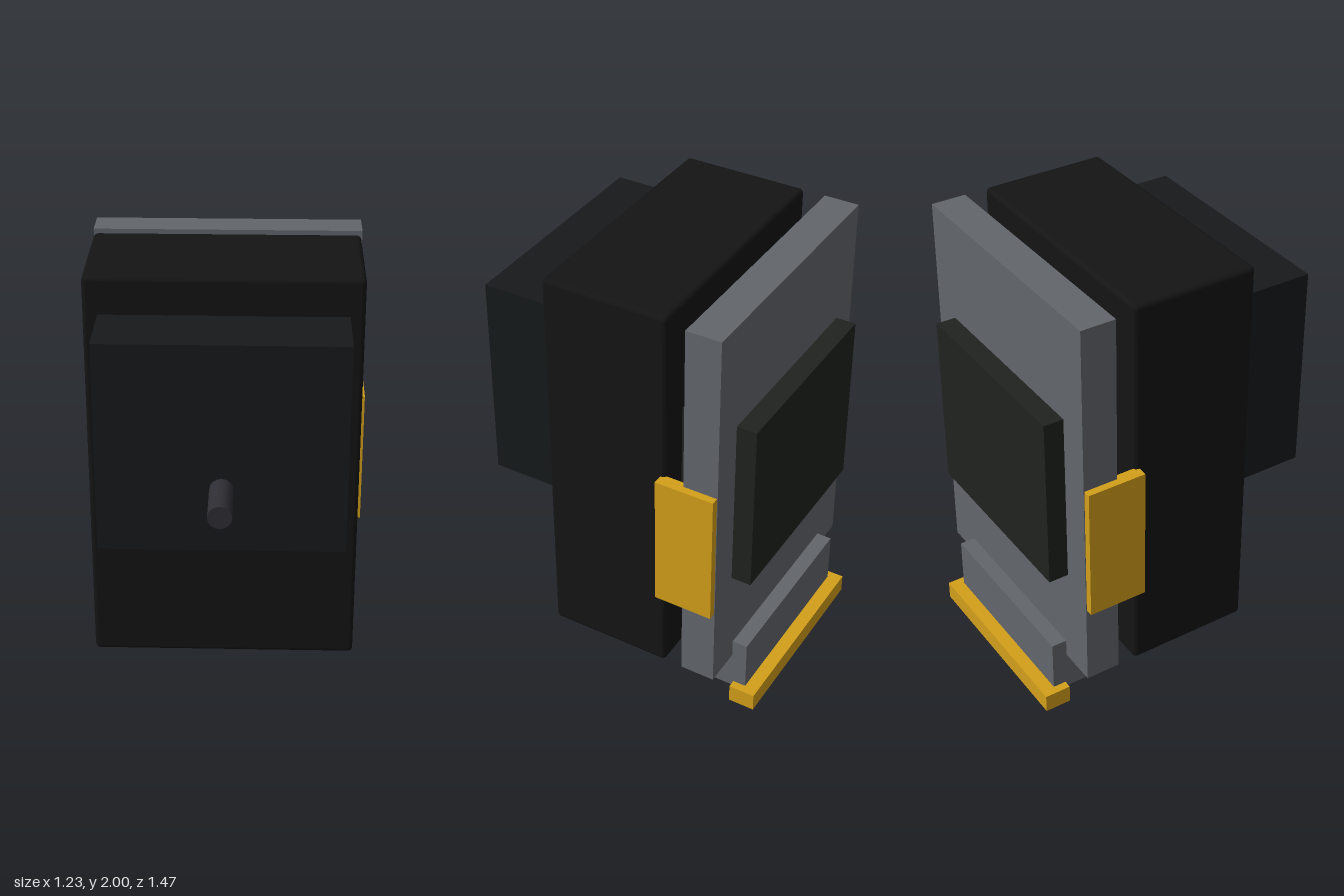
import * as THREE from 'three';
import { RoundedBoxGeometry } from 'three/addons/geometries/RoundedBoxGeometry.js';

const material = (color) => new THREE.MeshStandardMaterial({ color });

export function createModel() {
  const group = new THREE.Group();
  const black = material(0x141414);
  const charcoal = material(0x16191b);
  const panelDark = material(0x1f221e);
  const steel = material(0x62666b);
  const amber = material(0xd39f1b);
  const shaftGrey = material(0x2e2e34);
  const silver = material(0xb4babc);
  const pinGrey = material(0x777777);
  const blue = material(0x1c3a80);

  const add = (name, geometry, mat, x, y, z) => {
    const mesh = new THREE.Mesh(geometry, mat);
    mesh.name = name;
    mesh.position.set(x, y, z);
    group.add(mesh);
    return mesh;
  };
  // Box given by its limits on each axis
  const box = (name, mat, [x0, x1], [y0, y1], [z0, z1]) =>
    add(name, new THREE.BoxGeometry(x1 - x0, y1 - y0, z1 - z0), mat,
      (x0 + x1) / 2, (y0 + y1) / 2, (z0 + z1) / 2);
  const cylinder = (name, mat, radius, length, x, y, z, sides = 12) =>
    add(name, new THREE.CylinderGeometry(radius, radius, length, sides), mat, x, y, z);

  // Main housing with softened edges, and the raised front housing
  add('mainHousing', new RoundedBoxGeometry(1.146, 1.76, 0.555, 3, 0.02), black, 0, 1.12, -0.0875);
  box('frontHousing', charcoal, [-0.512, 0.512], [0.93, 1.84], [0.15, 0.5]);

  // Shaft pointing forward
  cylinder('shaft', shaftGrey, 0.05, 0.27, 0, 1.21, 0.603, 16).rotation.x = Math.PI / 2;

  // Back plate and the block that passes through it
  box('backPlate', steel, [-0.583, 0.583], [0.26, 1.985], [-0.607, -0.453]);
  box('backBlock', panelDark, [-0.442, 0.442], [0.73, 1.512], [-0.695, -0.355]);

  // Side brackets
  for (const side of [-1, 1]) {
    box(side > 0 ? 'leftBracket' : 'rightBracket', amber,
      side > 0 ? [0.56, 0.616] : [-0.616, -0.56], [0.638, 1.25], [-0.604, -0.342]);
  }

  // Lower connector with its rail
  box('lowerConnector', steel, [-0.41, 0.41], [0.08, 0.34], [-0.675, -0.442]);
  box('bottomRail', amber, [-0.446, 0.446], [0.022, 0.105], [-0.735, -0.617]);

  // Small discs and pins
  cylinder('topDisc', silver, 0.05, 0.017, 0, 1.584, -0.4);
  for (const side of [-1, 1]) {
    cylinder(side > 0 ? 'leftPin' : 'rightPin', pinGrey, 0.026, 0.042, side * 0.177, 0.048, -0.469);
  }
  cylinder('bluePlug', blue, 0.04, 0.06, 0, 0.03, -0.38);

  return group;
}
